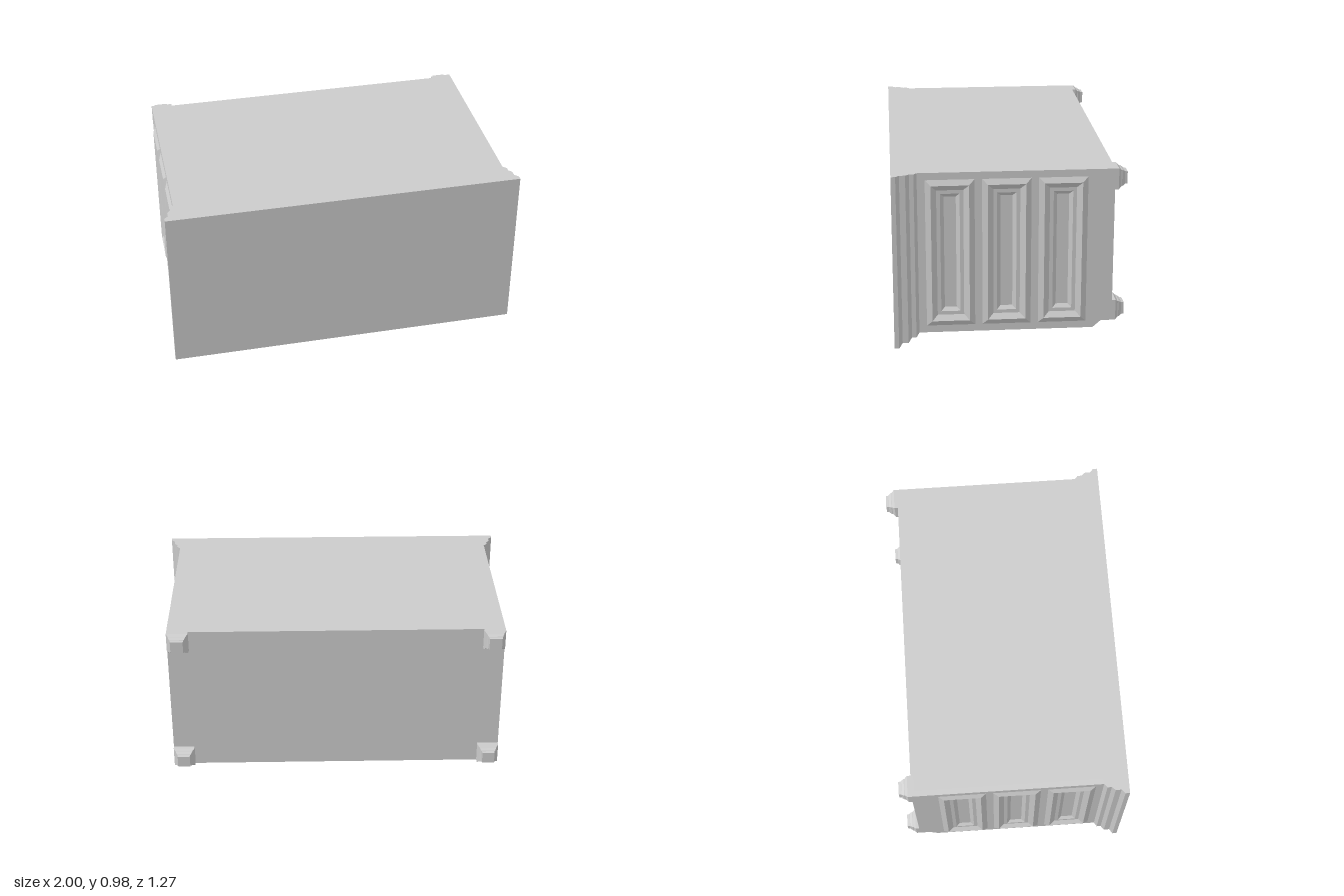
import * as THREE from 'three';

const BACK = 0.98;           // height of the flat back panel
const FRONT = 0.065;         // plane of the drawer front (faces down)
const SIDE = 0.94;           // half width of the case
const ROWS = [0.3225, 0.0175, -0.2875];
const ROW_H = 0.265;

const grey = new THREE.MeshStandardMaterial({ color: 0xcccccc, flatShading: true });
const brass = new THREE.MeshStandardMaterial({ color: 0xd9a441 });

function add(parent, name, geometry, material = grey) {
  const mesh = new THREE.Mesh(geometry, material);
  mesh.name = name;
  parent.add(mesh);
  return mesh;
}

// Skins a stack of rectangles [x0, x1, y0, y1, z], closed at the last one
function rectLoft(levels, closeStart) {
  const loops = levels.map(([x0, x1, y0, y1, z]) =>
    [[x0, y0, z], [x1, y0, z], [x1, y1, z], [x0, y1, z]]);
  const pos = [];
  const quad = (a, b, c, d) => pos.push(...a, ...b, ...c, ...a, ...c, ...d);
  for (let i = 0; i < loops.length - 1; i++) {
    const p = loops[i], q = loops[i + 1];
    for (let k = 0; k < 4; k++) {
      const n = (k + 1) % 4;
      quad(p[k], p[n], q[n], q[k]);
    }
  }
  quad(...loops[loops.length - 1]);
  if (closeStart) quad(...[...loops[0]].reverse());
  const g = new THREE.BufferGeometry();
  g.setAttribute('position', new THREE.Float32BufferAttribute(pos, 3));
  g.computeVertexNormals();
  return g;
}

// Raised moulded frame around a sunken centre field
function panelGeometry(w, h, rise) {
  const steps = [[0, 0], [0.03, rise], [0.06, -0.005], [0.08, -0.005], [0.1, -0.02]];
  return rectLoft(steps.map(([i, z]) => [i - w / 2, w / 2 - i, i - h / 2, h / 2 - i, z]));
}

function rectHole(cx, cy, w, h) {
  return new THREE.Path([[-1, -1], [-1, 1], [1, 1], [1, -1]].map(
    ([a, b]) => new THREE.Vector2(cx + a * w / 2, cy + b * h / 2)));
}

const polygon = (pts) => new THREE.Shape(pts.map(([x, y]) => new THREE.Vector2(x, y)));

function extrude(shape, from, to) {
  return new THREE.ExtrudeGeometry(shape, { depth: to - from, bevelEnabled: false })
    .translate(0, 0, from);
}

export function createModel() {
  const model = new THREE.Group();
  model.name = 'dresserLyingOnBack';

  // Case core, drawn as a side profile and swept across the width
  const apron = [[-0.46, FRONT], [-0.505, 0.105], [-0.565, 0.105], [-0.565, BACK], [0.5, BACK]];
  const core = polygon([[0.5, 0.095], [-0.46, 0.095], ...apron]);
  add(model, 'caseCore', extrude(core, -0.91, 0.91)).rotation.y = -Math.PI / 2;

  // Sides with three tall panels each
  const panelMidY = 0.5225, panelH = 0.835;
  for (const s of [-1, 1]) {
    const group = new THREE.Group();
    group.name = s > 0 ? 'leftSide' : 'rightSide';
    model.add(group);
    const plate = polygon([[0.5, FRONT], ...apron]);
    ROWS.forEach((z) => plate.holes.push(rectHole(z, panelMidY, ROW_H, panelH)));
    const range = s > 0 ? [-SIDE, -0.91] : [0.91, SIDE];
    add(group, 'sidePlate', extrude(plate, ...range)).rotation.y = -Math.PI / 2;
    for (const z of ROWS) {
      const panel = add(group, 'sidePanel', panelGeometry(ROW_H, panelH, 0.015));
      panel.rotation.y = s * Math.PI / 2;
      panel.position.set(s * SIDE, panelMidY, z);
    }
  }

  // Drawer front: three small drawers in the top row, two wide ones below
  const drawers = [];
  ROWS.forEach((z, row) => {
    if (row === 0) [-0.6, 0, 0.6].forEach((x) => drawers.push({ x, z, w: 0.56, knobs: [0] }));
    else [-0.45, 0.45].forEach((x) => drawers.push({ x, z, w: 0.86, knobs: [-0.208, 0.208] }));
  });
  const front = new THREE.Group();
  front.name = 'drawerFront';
  front.rotation.x = Math.PI / 2;
  front.position.y = FRONT;
  model.add(front);
  const face = polygon([[-0.91, -0.46], [0.91, -0.46], [0.91, 0.5], [-0.91, 0.5]]);
  drawers.forEach(({ x, z, w }) => face.holes.push(rectHole(x, z, w, ROW_H)));
  add(front, 'drawerFrame', extrude(face, -0.03, 0));

  const knobGeometry = new THREE.LatheGeometry([
    [0.02, -0.022], [0.019, -0.014], [0.011, -0.007], [0.011, 0.014], [0.024, 0.019],
    [0.03, 0.026], [0.029, 0.034], [0.022, 0.039], [0, 0.041],
  ].map(([r, y]) => new THREE.Vector2(r, y)), 20).rotateX(Math.PI / 2);
  for (const { x, z, w, knobs } of drawers) {
    add(front, 'drawer', panelGeometry(w, ROW_H, 0.02)).position.set(x, z, 0);
    for (const k of knobs) add(front, 'knob', knobGeometry, brass).position.set(x + k, z, 0);
  }

  // Stepped dresser top, overhanging the front and both sides
  const top = [
    [0.49, SIDE, FRONT], [0.497, SIDE, FRONT], [0.514, 0.96, 0.045], [0.538, 0.96, 0.045],
    [0.558, 0.978, 0.022], [0.59, 0.978, 0.022], [0.61, 1, 0], [0.635, 1, 0],
  ];
  add(model, 'dresserTop', rectLoft(top.map(([z, w, y]) => [-w, w, y, BACK, z]), true));

  // Four stepped feet
  const footSteps = [[0, 0.55], [0, 0.585], [0.013, 0.6], [0.013, 0.604], [0.02, 0.618],
    [0.023, 0.62], [0.025, 0.635]];
  const footGeometry = rectLoft(footSteps.map(([i, z]) =>
    [i - 0.06, 0.06 - i, i - 0.0585, 0.0585 - i, z]), true);
  for (const x of [-0.88, 0.88]) {
    for (const y of [0.1635, BACK - 0.0585]) {
      const foot = add(model, 'foot', footGeometry);
      foot.rotation.y = Math.PI;
      foot.position.set(x, y, 0);
    }
  }
  return model;
}
